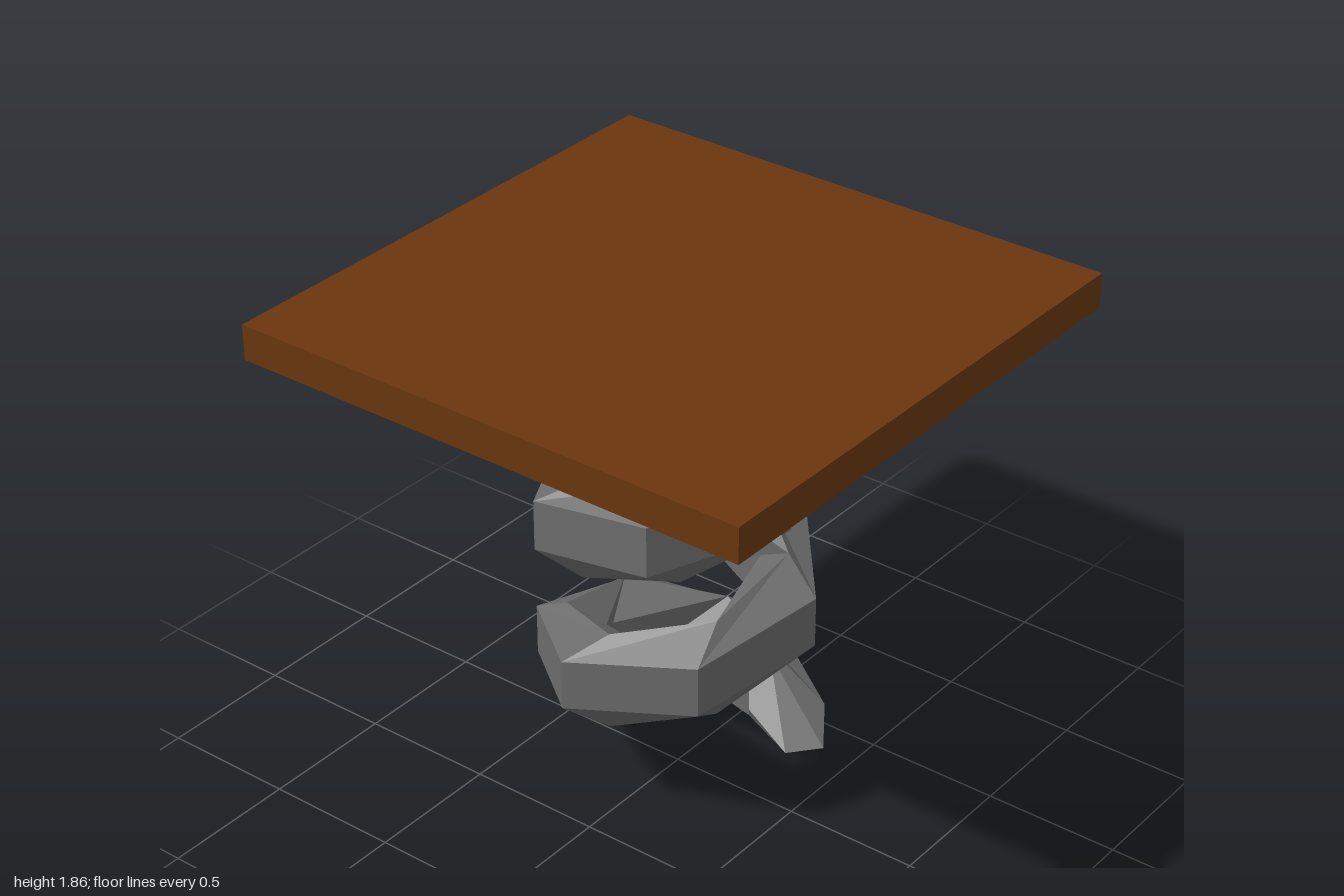
import * as THREE from 'three';

const SIDES = 6;             // hexagonal tube
const STEPS = 16;            // segments along the coil
const TUBE_RADIUS = 0.19;
const STEP_TURN = THREE.MathUtils.degToRad(56.87);
const STEP_RISE = 0.0915;

// Open tube made by screwing an upright hexagon around the y axis
function coilGeometry() {
  const up = new THREE.Vector3(0, 1, 0);
  const ring = (k) => Array.from({ length: SIDES }, (_, j) => {
    const a = Math.PI / 6 + (j * Math.PI * 2) / SIDES;
    return new THREE.Vector3(
      0.28 + TUBE_RADIUS * Math.cos(a),
      TUBE_RADIUS * (1 + Math.sin(a)) + k * STEP_RISE,
      -0.265
    ).applyAxisAngle(up, k * STEP_TURN);
  });

  const points = [];
  for (let k = 0; k < STEPS; k++) {
    const near = ring(k), far = ring(k + 1);
    for (let j = 0; j < SIDES; j++) {
      const n = (j + 1) % SIDES;
      points.push(near[j], far[j], far[n], near[j], far[n], near[n]);
    }
  }
  const geometry = new THREE.BufferGeometry().setFromPoints(points);
  geometry.computeVertexNormals();
  return geometry;
}

export function createModel() {
  const model = new THREE.Group();
  model.name = 'springTable';

  const wood = new THREE.MeshStandardMaterial({ color: 0x6a360f });
  wood.name = 'brownWood';
  const metal = new THREE.MeshStandardMaterial({
    color: 0x6c6c6c, flatShading: true, side: THREE.DoubleSide,
  });
  metal.name = 'greyMetal';

  // Square slab
  const top = new THREE.Mesh(new THREE.BoxGeometry(2, 0.13, 2), wood);
  top.name = 'tableTop';
  top.position.y = 1.795;

  // Spring base, its upper end sunk into the slab
  const spring = new THREE.Mesh(coilGeometry(), metal);
  spring.name = 'springBase';

  model.add(top, spring);
  return model;
}
